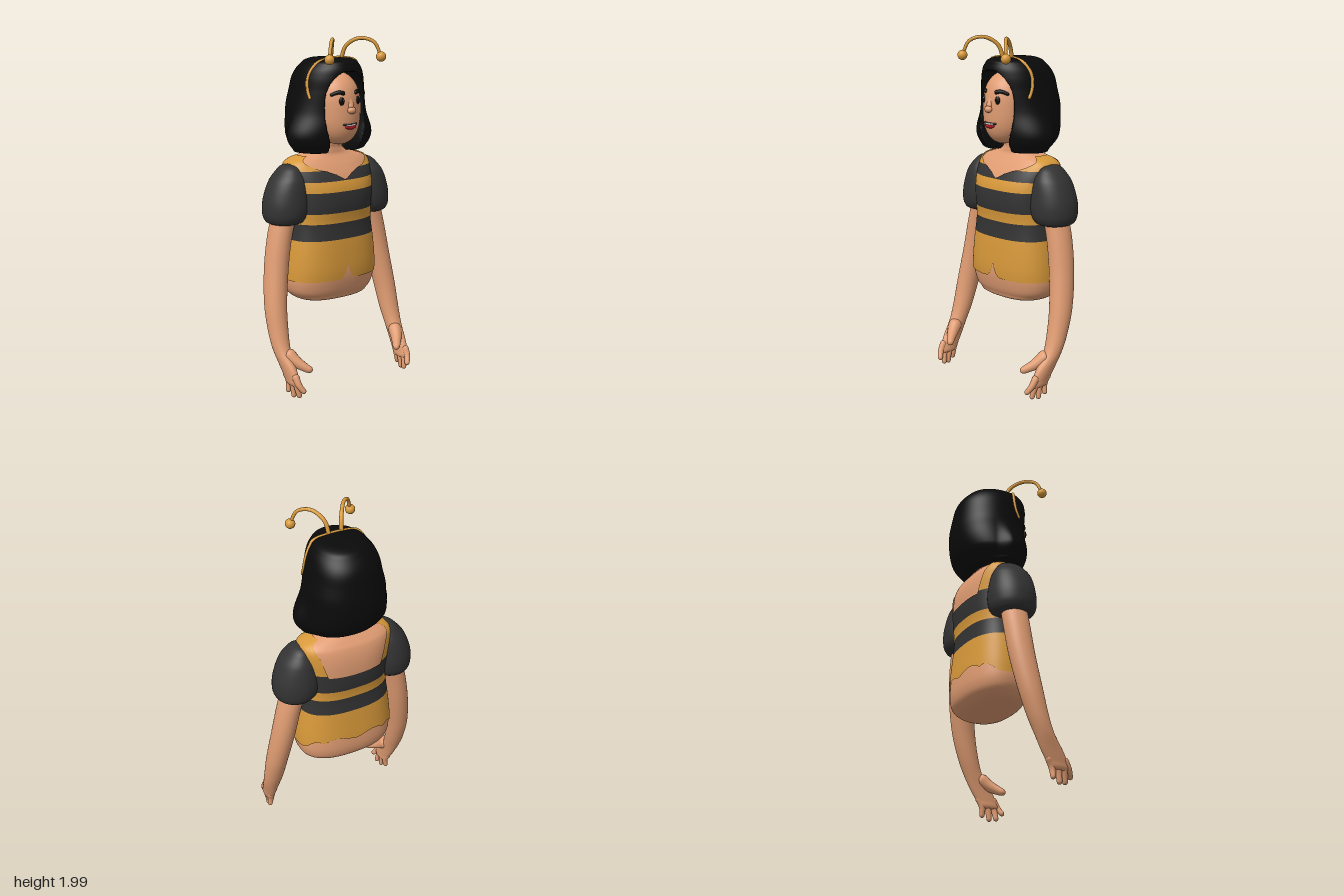
import * as THREE from 'three';

const mat = (color) => new THREE.MeshStandardMaterial({ color, side: THREE.DoubleSide });
const SKIN = mat(0xe09c72), GOLD = mat(0xd8993a), DARK = mat(0x333333), HAIR = mat(0x0a0a0a);
const RED = mat(0xb01522), WHITE = mat(0xeeeae4);
const { smoothstep, clamp, lerp } = THREE.MathUtils;

// Closed-around grid surface: fn(i, j) gives the point of ring i at step j
function grid(rings, steps, fn) {
  const pos = [], index = [];
  for (let i = 0; i <= rings; i++) {
    for (let j = 0; j < steps; j++) {
      pos.push(...fn(i, j));
      if (i === rings) continue;
      const a = i * steps + j, b = i * steps + (j + 1) % steps;
      index.push(a, b, a + steps, b, b + steps, a + steps);
    }
  }
  const g = new THREE.BufferGeometry();
  g.setAttribute('position', new THREE.Float32BufferAttribute(pos, 3));
  g.setIndex(index);
  g.computeVertexNormals();
  return g;
}

// Smooth interpolation of rows [y, halfWidth, halfDepth, centreZ, centreX]
function sample(rows, y) {
  const last = rows.length - 1;
  let k = 0;
  while (k < last - 1 && y > rows[k + 1][0]) k++;
  const p = rows[k], q = rows[k + 1], o = rows[Math.max(k - 1, 0)], r = rows[Math.min(k + 2, last)];
  const h = q[0] - p[0], t = clamp((y - p[0]) / h, 0, 1);
  return [1, 2, 3, 4].map((c) => {
    const v = (row) => row[c] ?? 0;
    const m0 = h * (v(q) - v(o)) / (q[0] - o[0]), m1 = h * (v(r) - v(p)) / (r[0] - p[0]);
    const d = v(q) - v(p);
    return v(p) + t * (m0 + t * (3 * d - 2 * m0 - m1 + t * (m0 + m1 - 2 * d)));
  });
}

// Point on a superellipse ring; angle 0 is the front
function ringPoint(rows, y, angle, n, grow = 0) {
  const [a, b, cz, cx] = sample(rows, y);
  const pw = (v) => Math.sign(v) * Math.abs(v) ** (2 / n);
  return [cx + (Math.max(a, 0) + grow) * pw(Math.sin(angle)), y + grow * 0.6,
    cz + (Math.max(b, 0) + grow) * pw(Math.cos(angle))];
}

function loft(rows, { steps = 48, n = 2, sub = 5, shape = (p) => p } = {}) {
  return grid((rows.length - 1) * sub, steps, (i, j) => {
    const k = Math.min(Math.floor(i / sub), rows.length - 2);
    const y = lerp(rows[k][0], rows[k + 1][0], i / sub - k);
    return shape(ringPoint(rows, y, (j / steps) * Math.PI * 2, n));
  });
}

// Round-ended tube whose radius runs from r0 to r1
function taperedTube(points, r0, r1, rings = 24, steps = 12) {
  const curve = new THREE.CatmullRomCurve3(points.map((p) => new THREE.Vector3(...p)));
  const len = curve.getLength(), frames = curve.computeFrenetFrames(200);
  return grid(rings, steps, (i, j) => {
    const u = (1 - Math.cos(Math.PI * i / rings)) / 2, f = Math.round(u * 200);
    const r = lerp(r0, r1, u), e = Math.min(1, Math.min(u, 1 - u) * len / r);
    const rad = r * Math.sqrt(1 - (1 - e) ** 2), t = (j / steps) * Math.PI * 2;
    return curve.getPointAt(u).addScaledVector(frames.normals[f], rad * Math.cos(t))
      .addScaledVector(frames.binormals[f], rad * Math.sin(t)).toArray();
  });
}

const TORSO = [
  [0.493, 0, 0, 0.03], [0.499, 0.17, 0.1, 0.03], [0.53, 0.248, 0.152, 0.012], [0.58, 0.28, 0.176, 0.008],
  [0.66, 0.287, 0.185, 0.012], [0.8, 0.275, 0.178, 0.015], [0.95, 0.255, 0.168, 0.015],
  [1.06, 0.255, 0.18, 0.015], [1.15, 0.262, 0.178, 0.01], [1.22, 0.27, 0.162, 0], [1.28, 0.268, 0.135, -0.01],
  [1.31, 0.24, 0.112, -0.01], [1.335, 0.165, 0.092, -0.008], [1.355, 0.108, 0.083, -0.003], [1.38, 0.083, 0.078, 0],
  [1.47, 0.078, 0.075, 0.02],
];
// Neckline height by angle from the front
const NECKLINE = [[0, 1.2], [0.12, 1.228], [0.3, 1.25], [0.5, 1.262], [0.9, 1.3], [1.15, 1.33],
  [1.95, 1.33], [2.2, 1.3], [2.42, 1.25], [2.52, 1.17], [2.58, 1.12], [3.2, 1.115]];
function neckline(t) {
  const k = NECKLINE.findIndex((p) => p[0] > t), [a, b] = [NECKLINE[k - 1], NECKLINE[k]];
  return lerp(a[1], b[1], (t - a[0]) / (b[0] - a[0]));
}
function hem(t) {
  const back = smoothstep(t, 1.8, 2.5);
  return 0.625 + 0.085 * Math.exp(-t / 0.035) + back * (0.04 + 0.025 * Math.abs(Math.sin(t * 5)));
}
// Stripe edges; the straps turn plain gold behind the shoulders
const stripeEdges = (t) => [hem(t), 0.86, 0.955, 1.015, 1.135, 1.195, lerp(1.255, 1.195, smoothstep(t, 1.9, 2.1)), 1.34];

const HAIR_ROWS = [
  [1.345, 0, 0, 0.02], [1.351, 0.185, 0.115, 0.015], [1.375, 0.242, 0.162, 0.01], [1.45, 0.282, 0.203, -0.005],
  [1.58, 0.235, 0.215, -0.015], [1.7, 0.206, 0.213, -0.002], [1.78, 0.189, 0.205, 0.01],
  [1.84, 0.156, 0.176, 0.028], [1.873, 0.105, 0.128, 0.036], [1.886, 0, 0, 0.036],
];
const HAIR_N = 2.15;

// Head: rounded oval with the chin pushed forward
const HEAD = { y: 1.6, h: 0.205, a: 0.136, b: 0.14, z: 0.087 };
const headRow = (y) => {
  const t = clamp((y - HEAD.y) / HEAD.h, -1, 1), w = Math.sqrt(1 - Math.abs(t) ** 2.6);
  return [y, HEAD.a * w, HEAD.b * w, HEAD.z + 0.025 * Math.max(0, -t) ** 2];
};
const onFace = (x, y, out = 0) => {
  const [, a, b, z] = headRow(y);
  return [x, y, z + b * Math.sqrt(Math.max(0, 1 - (x / a) ** 2)) + out];
};

export function createModel() {
  const model = new THREE.Group();
  const figure = new THREE.Group();
  figure.name = 'figure';
  figure.position.set(-0.035, 0, -0.09);
  figure.rotation.y = 0.34;
  model.add(figure);
  const add = (name, geometry, material) => {
    const m = new THREE.Mesh(geometry, material);
    m.name = name;
    figure.add(m);
    return m;
  };
  const ball = (name, p, s, material) => {
    const m = add(name, new THREE.SphereGeometry(1, 24, 16), material);
    m.position.set(...p);
    m.scale.set(...s);
    return m;
  };

  // Torso and striped dress
  add('torso', loft(TORSO, { n: 2.5, steps: 64 }), SKIN);
  for (let s = 0; s < 7; s++) {
    const steps = 256, rings = 7;
    add('dressStripe', grid(rings, steps, (i, j) => {
      const angle = (j / steps) * Math.PI * 2, t = Math.min(angle, Math.PI * 2 - angle);
      const top = neckline(t), edges = stripeEdges(t);
      const y = lerp(Math.min(edges[s], top), Math.min(edges[s + 1], top), i / rings);
      return ringPoint(TORSO, y, angle, 2.5, 0.006);
    }), s % 2 ? DARK : GOLD);
  }

  // Head and nose
  const headRows = Array.from({ length: 33 }, (_, i) => headRow(HEAD.y - HEAD.h * Math.cos(Math.PI * i / 32)));
  add('head', loft(headRows, { sub: 1 }), SKIN);
  add('noseBridge', taperedTube([onFace(0, 1.68, -0.02), onFace(0, 1.64, -0.014), onFace(0, 1.6, -0.002)], 0.016, 0.023), SKIN);
  ball('noseTip', onFace(0, 1.598, 0.004), [0.026, 0.02, 0.02], SKIN);

  // Mouth
  const lip = (w, y, bow, out) => [-1, -0.5, 0, 0.5, 1].map((k) => onFace(k * w, y + bow * k * k, out));
  add('mouthOpening', taperedTube(lip(0.048, 1.517, 0.003, 0), 0.006, 0.006), DARK);
  add('teeth', taperedTube(lip(0.032, 1.514, 0.003, 0.003), 0.005, 0.005), WHITE);
  add('lowerLip', taperedTube(lip(0.034, 1.5, 0.01, 0.001), 0.01, 0.01), RED);

  // Hair: arched opening for the face, flared ends narrowing behind
  add('hair', loft(HAIR_ROWS, { n: HAIR_N, steps: 240, sub: 10, shape: ([x, y, z]) => {
    const arch = Math.sqrt(Math.max(0, 1 - Math.max(0, (y - 1.64) / 0.17) ** 2));
    const w = arch * lerp(0.092, 0.125, smoothstep(y, 1.36, 1.55));
    const pull = z > 0.04 && w > 0 ? 1 - smoothstep(Math.abs(x), w - 0.012, w + 0.012) : 0;
    const narrow = 0.15 * smoothstep(-z, -0.02, 0.07) * (1 - smoothstep(y, 1.45, 1.65));
    return [x * (1 - narrow), y, lerp(z, Math.min(z, 0.04), pull)];
  } }), HAIR);

  // Headband resting on the hair, bowed back at the temples
  const bandSide = [1.66, 1.71, 1.76, 1.8, 1.835, 1.86].map((y) => {
    const z = 0.072 + 0.03 * ((y - 1.77) / 0.11) ** 2, [a, b, cz] = sample(HAIR_ROWS, y);
    return [a * Math.max(0, 1 - Math.abs((z - cz) / b) ** HAIR_N) ** (1 / HAIR_N), y, z];
  });
  const mirrored = bandSide.map(([x, y, z]) => [-x, y, z]).reverse();
  add('headband', taperedTube([...bandSide, [0.035, 1.878, 0.088], [-0.035, 1.878, 0.088], ...mirrored], 0.009, 0.009, 80), GOLD);

  for (const s of [1, -1]) {
    const side = s > 0 ? 'left' : 'right';
    const flip = (pts) => pts.map(([x, y, z]) => [s * x, y, z]);

    // Antenna
    add(side + 'Antenna', taperedTube(flip([[0.036, 1.865, 0.086], [0.05, 1.945, 0.115], [0.095, 1.988, 0.18],
      [0.15, 1.967, 0.238], [0.18, 1.89, 0.264]]), 0.012, 0.009, 40), GOLD);
    ball(side + 'AntennaBall', [s * 0.18, 1.887, 0.264], [0.028, 0.028, 0.028], GOLD);

    // Eye and brow
    const eye = ball(side + 'Eye', onFace(s * 0.056, 1.65, 0), [0.015, 0.023, 0.009], HAIR);
    eye.rotation.y = s * 0.3;
    ball(side + 'EyeGlint', onFace(s * 0.056 + 0.006, 1.657, 0.007), [0.003, 0.004, 0.003], WHITE);
    add(side + 'Brow', taperedTube([[0.034, 1.69], [0.065, 1.698], [0.103, 1.682]]
      .map(([x, y]) => onFace(s * x, y, 0.001)), 0.012, 0.009), HAIR);

    // Puffed sleeve
    add(side + 'Sleeve', loft([[0.955, 0, 0, 0, 0.302], [0.96, 0.075, 0.08, 0, 0.302], [0.985, 0.117, 0.12, 0, 0.296],
      [1.04, 0.136, 0.135, 0, 0.288], [1.11, 0.132, 0.133, 0, 0.283], [1.2, 0.104, 0.116, 0.002, 0.276],
      [1.25, 0.072, 0.09, 0.002, 0.269], [1.285, 0.038, 0.055, 0, 0.264], [1.297, 0, 0, 0, 0.26]]
      .map(([y, a, b, z, x]) => [y, a, b, z, s * x])), DARK);

    // Arm flowing into a flattened palm
    add(side + 'Arm', loft([[0.075, 0, 0, 0.215, 0.397], [0.083, 0.022, 0.052, 0.215, 0.397], [0.12, 0.028, 0.062, 0.2, 0.4],
      [0.18, 0.035, 0.065, 0.168, 0.405], [0.26, 0.047, 0.055, 0.122, 0.41], [0.35, 0.056, 0.058, 0.087, 0.408],
      [0.5, 0.063, 0.067, 0.048, 0.399], [0.7, 0.068, 0.073, 0.015, 0.37], [0.88, 0.069, 0.075, 0.002, 0.337],
      [1.02, 0.07, 0.075, 0, 0.3]].map(([y, a, b, z, x]) => [y, a, b, z, s * x]), { steps: 32 }), SKIN);

    // Thumb and fingers
    add(side + 'Thumb', taperedTube(flip([[0.402, 0.26, 0.14], [0.372, 0.21, 0.195], [0.338, 0.178, 0.24],
      [0.308, 0.158, 0.272]]), 0.046, 0.018), SKIN);
    [[0.26, 0.294, 0.052, 0.374], [0.233, 0.256, 0.016, 0.384], [0.2, 0.216, 0.01, 0.396], [0.168, 0.174, 0.03, 0.406]]
      .forEach(([z0, z1, y1, x1]) => add(side + 'Finger', taperedTube(flip([[0.405, 0.15, z0 - 0.025],
        [0.398, 0.09, lerp(z0, z1, 0.3)], [x1, y1 - 0.004, z1]]), 0.022, 0.014), SKIN));
  }
  return model;
}
